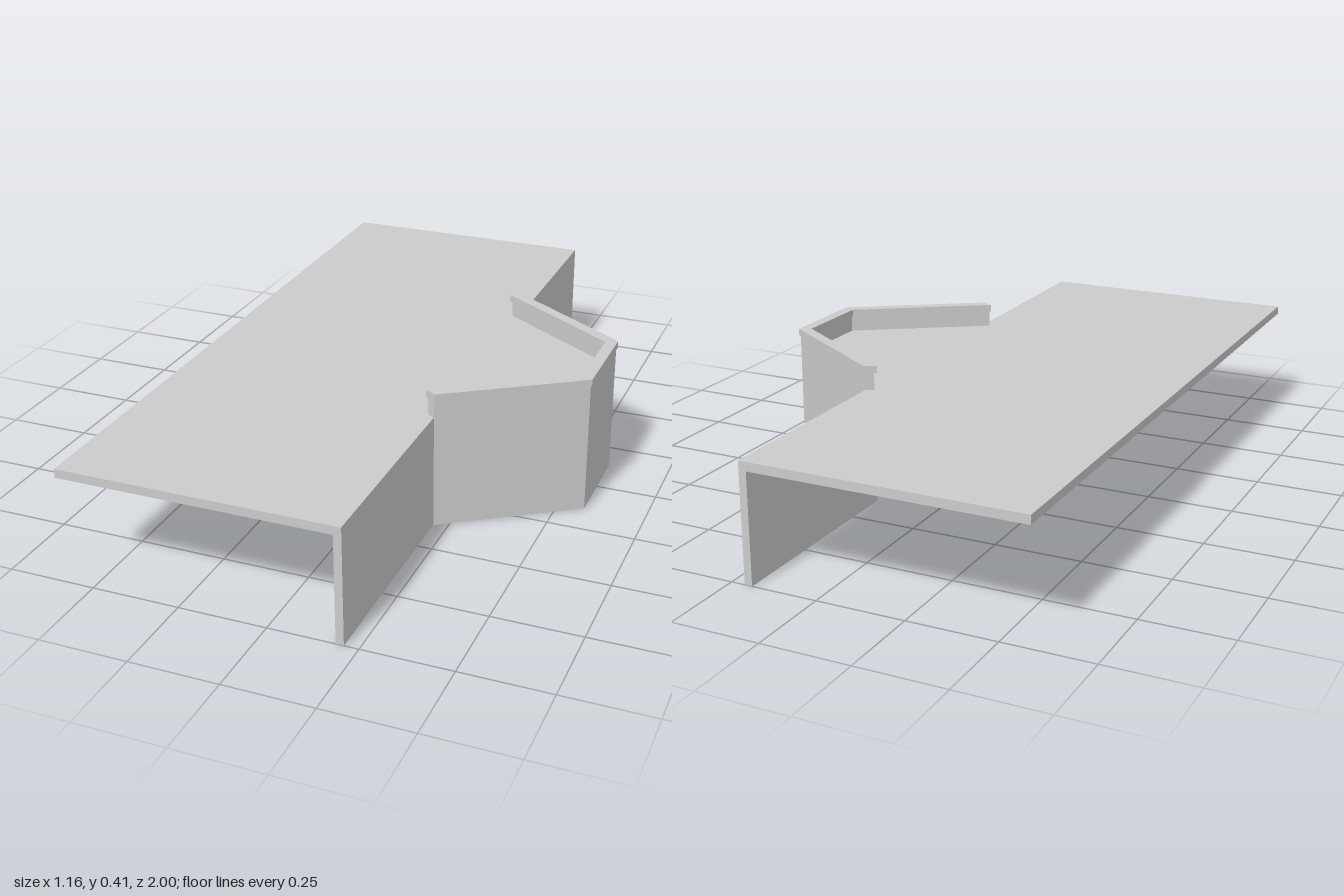
import * as THREE from 'three';

const HALF_LENGTH = 1, BACK = -0.58, FACE = 0.21;
const SLAB_BOTTOM = 0.31, SLAB_TOP = 0.335;
const THICK = 0.022;
const MITRE = 0.534; // sideways shift per unit of inward shift at each bend

// Outer face of the bay, offset by t with mitred ends and corners
function bayLine(t) {
  const half = [[FACE + t, 0.38 + MITRE * t], [0.576 + t, 0.137 + MITRE * t]];
  return [...half, ...half.map(([x, z]) => [x, -z]).reverse()];
}

export function createModel() {
  const group = new THREE.Group();
  const material = new THREE.MeshStandardMaterial({ color: 0xcccccc });

  // Extrude a plan of [x, z] points upward from y0 to y1
  function addPlan(name, points, y0, y1) {
    const shape = new THREE.Shape(points.map(([x, z]) => new THREE.Vector2(x, -z)));
    const geometry = new THREE.ExtrudeGeometry(shape, { depth: y1 - y0, bevelEnabled: false });
    geometry.rotateX(-Math.PI / 2);
    geometry.translate(0, y0, 0);
    const mesh = new THREE.Mesh(geometry, material);
    mesh.name = name;
    group.add(mesh);
  }

  const outer = bayLine(0), inner = bayLine(-THICK);

  // Floor slab running out into the bay
  addPlan('floorSlab', [
    [BACK, HALF_LENGTH], [FACE, HALF_LENGTH], outer[0],
    ...inner,
    outer[3], [FACE, -HALF_LENGTH], [BACK, -HALF_LENGTH],
  ], SLAB_BOTTOM, SLAB_TOP);

  // Straight walls either side of the bay
  for (const side of [1, -1]) {
    const plan = [
      outer[0], [FACE, HALF_LENGTH], [FACE - THICK, HALF_LENGTH], inner[0],
    ].map(([x, z]) => [x, z * side]);
    addPlan(side > 0 ? 'frontWall' : 'backWall', plan, 0, SLAB_BOTTOM);
  }

  // Bay wall rising above the floor as a parapet, and its overhanging coping
  addPlan('bayWall', [...outer, ...[...inner].reverse()], 0, 0.384);
  addPlan('coping', [...bayLine(0.004), ...bayLine(-0.029).reverse()], 0.384, 0.405);

  return group;
}
